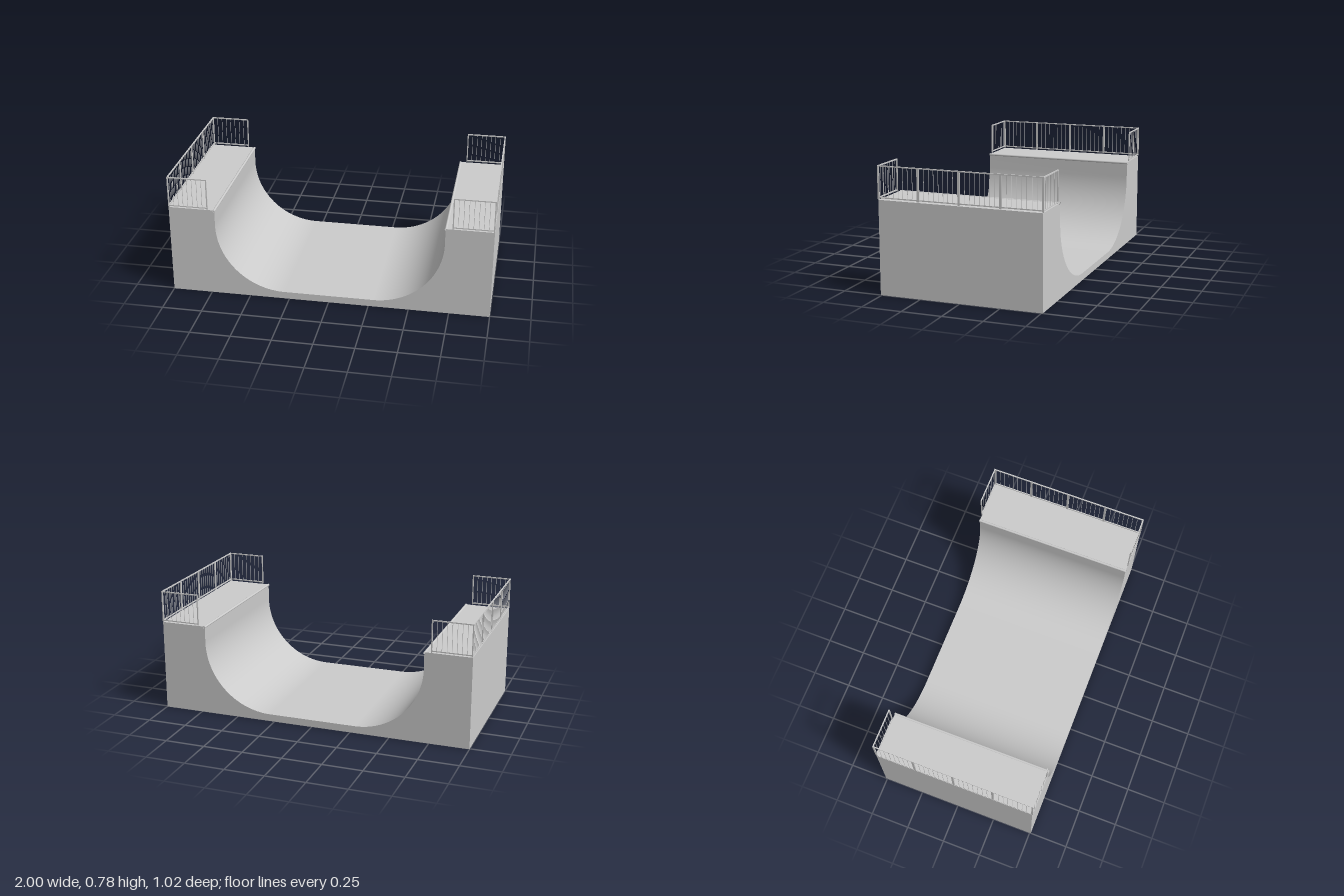
import * as THREE from 'three';

const HALF_Z = 0.508, DECK_Y = 0.575, LIP_X = 0.709, FLAT_X = 0.28, FLAT_Y = 0.045;

const material = new THREE.MeshStandardMaterial({ color: 0xcccccc, side: THREE.DoubleSide });

function addMesh(parent, name, geometry, x = 0, y = 0, z = 0) {
  const mesh = new THREE.Mesh(geometry, material);
  mesh.name = name;
  mesh.position.set(x, y, z);
  parent.add(mesh);
  return mesh;
}

// Riding surface outline from the left-hand lip to the right-hand lip
function rampProfile() {
  const radius = LIP_X - FLAT_X, steps = 32, half = [];
  half.push(new THREE.Vector2(-LIP_X, DECK_Y));
  for (let i = 0; i <= steps; i++) {
    const a = Math.PI + (i / steps) * Math.PI / 2;
    half.push(new THREE.Vector2(-FLAT_X + Math.cos(a) * radius, FLAT_Y + radius + Math.sin(a) * radius));
  }
  return [...half, ...half.map(p => new THREE.Vector2(-p.x, p.y)).reverse()];
}

// Sheet that follows the profile across the full width
function rampSheet(profile) {
  const n = profile.length;
  const geometry = new THREE.PlaneGeometry(1, 1, n - 1, 1);
  const pos = geometry.attributes.position;
  for (let i = 0; i < pos.count; i++) {
    const p = profile[i % n];
    pos.setXYZ(i, p.x, p.y, i < n ? -HALF_Z : HALF_Z);
  }
  geometry.computeVertexNormals();
  return geometry;
}

// Railing panel along local x, standing on y = 0
function railingPanel(length) {
  const panel = new THREE.Group();
  panel.name = 'railingPanel';
  const height = 0.2, bar = 0.007, balusters = 7, gap = 0.0302;
  for (const s of [-1, 1]) {
    addMesh(panel, 'post', new THREE.BoxGeometry(bar, height, bar), s * (length - bar) / 2, height / 2, 0);
  }
  addMesh(panel, 'topRail', new THREE.BoxGeometry(length, bar, bar), 0, height - bar / 2, 0);
  addMesh(panel, 'bottomRail', new THREE.BoxGeometry(length, bar, bar), 0, 0.01, 0);
  for (let i = 0; i < balusters; i++) {
    addMesh(panel, 'baluster', new THREE.CylinderGeometry(0.0015, 0.0015, height - 0.014, 6),
      (i - (balusters - 1) / 2) * gap, height / 2 + 0.002, 0);
  }
  return panel;
}

export function createModel() {
  const model = new THREE.Group();
  model.name = 'halfPipeRamp';
  const profile = rampProfile();

  addMesh(model, 'ridingSurface', rampSheet(profile));

  // Front and back panels cut to the curve; the underside stays open
  const side = new THREE.Shape([
    new THREE.Vector2(-1, 0), new THREE.Vector2(1, 0), new THREE.Vector2(1, DECK_Y),
    ...profile.slice().reverse(), new THREE.Vector2(-1, DECK_Y),
  ]);
  addMesh(model, 'frontPanel', new THREE.ShapeGeometry(side), 0, 0, HALF_Z);
  addMesh(model, 'backPanel', new THREE.ShapeGeometry(side), 0, 0, -HALF_Z).rotation.y = Math.PI;

  for (const s of [-1, 1]) {
    // End wall and standing deck
    const wall = new THREE.PlaneGeometry(2 * HALF_Z, DECK_Y);
    addMesh(model, 'endWall', wall, s, DECK_Y / 2, 0).rotation.y = s * Math.PI / 2;
    const deck = new THREE.PlaneGeometry(1 - LIP_X, 2 * HALF_Z);
    addMesh(model, 'deck', deck, s * (1 + LIP_X) / 2, DECK_Y, 0).rotation.x = -Math.PI / 2;

    // Coping tube along the lip
    const coping = new THREE.CylinderGeometry(0.008, 0.008, 2 * HALF_Z + 0.004, 16, 1, true);
    addMesh(model, 'coping', coping, s * 0.712, 0.571, 0).rotation.x = Math.PI / 2;

    // Railings: four panels along the back edge, one at each end
    const railing = new THREE.Group();
    railing.name = s > 0 ? 'leftRailing' : 'rightRailing';
    const span = 2 * HALF_Z / 4;
    for (let i = 0; i < 4; i++) {
      const panel = railingPanel(span);
      panel.position.set(s * 0.9965, 0.578, (i - 1.5) * span);
      panel.rotation.y = Math.PI / 2;
      railing.add(panel);
    }
    for (const e of [-1, 1]) {
      const panel = railingPanel(0.25);
      panel.position.set(s * 0.875, 0.578, e * (HALF_Z + 0.0005));
      railing.add(panel);
    }
    model.add(railing);
  }
  return model;
}
